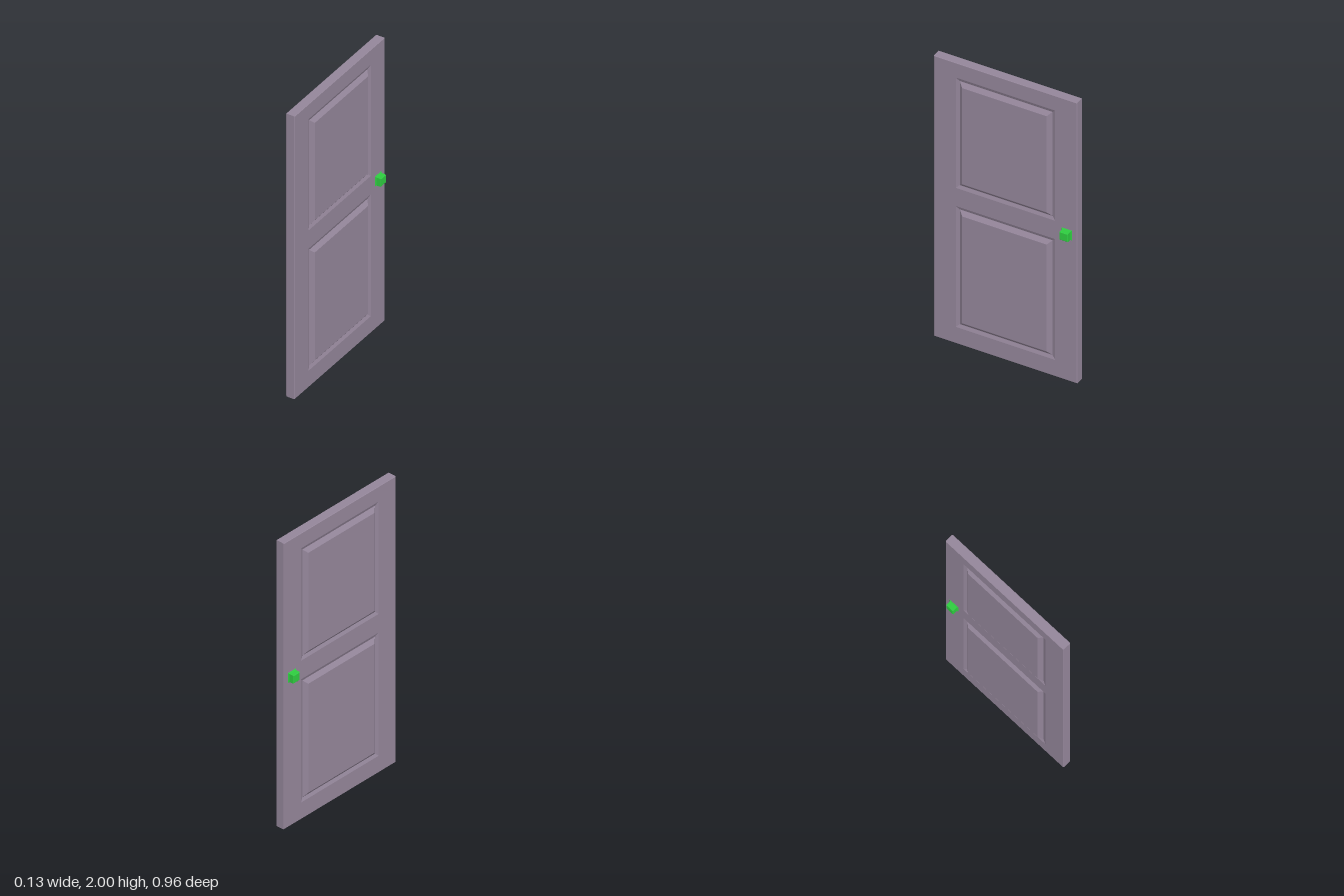
import * as THREE from 'three';

const paint = new THREE.MeshStandardMaterial({ color: 0x94869a });
const green = new THREE.MeshStandardMaterial({ color: 0x2ecc40 });

// Corners of a rectangle grown or shrunk by an inset, at height w above the middle plane
const corners = ([u0, u1, y0, y1], inset, w) => [
  [u0 + inset, y0 + inset, w], [u1 - inset, y0 + inset, w],
  [u1 - inset, y1 - inset, w], [u0 + inset, y1 - inset, w],
];

// Flat-shaded loft through rectangles listed from low to high or outside to inside: [inset, w]
function rectLoft(rect, profile, cap) {
  const pos = [];
  const quad = (a, b, c, d) => pos.push(...a, ...b, ...c, ...a, ...c, ...d);
  const rings = profile.map(([inset, w]) => corners(rect, inset, w));
  for (let i = 0; i < rings.length - 1; i++) {
    for (let j = 0; j < 4; j++) {
      const k = (j + 1) % 4;
      quad(rings[i][j], rings[i][k], rings[i + 1][k], rings[i + 1][j]);
    }
  }
  if (cap) quad(...rings[rings.length - 1]);
  const geo = new THREE.BufferGeometry();
  geo.setAttribute('position', new THREE.Float32BufferAttribute(pos, 3));
  geo.computeVertexNormals();
  return geo;
}

function add(parent, name, geometry, material) {
  const mesh = new THREE.Mesh(geometry, material);
  mesh.name = name;
  parent.add(mesh);
}

const half = 0.03, bevel = 0.003;
const slab = [-0.48, 0.48, 0, 2];
const panels = {
  lowerPanel: [-0.333, 0.333, 0.117, 0.979],
  upperPanel: [-0.333, 0.333, 1.109, 1.895],
};

// One face of the door, facing +z before it is turned
function doorSide(name, knobU) {
  const side = new THREE.Group();
  side.name = name;

  // Flat frame with openings for the panels
  const flat = (rect, inset) => corners(rect, inset, 0).map(([u, y]) => new THREE.Vector2(u, y));
  const frame = new THREE.Shape(flat(slab, bevel));
  for (const rect of Object.values(panels)) frame.holes.push(new THREE.Path(flat(rect, 0).reverse()));
  add(side, 'frame', new THREE.ShapeGeometry(frame).translate(0, 0, half), paint);

  // Panels: a groove sloping in, then a raised field
  for (const [panelName, rect] of Object.entries(panels)) {
    add(side, panelName, rectLoft(rect, [[0, half], [0.022, 0.021], [0.05, 0.042]], true), paint);
  }

  // Square knob with a flared foot and chamfered end
  const knob = [knobU - 0.035, knobU + 0.035, 1.008, 1.078];
  add(side, 'knob', rectLoft(knob, [[0, half], [0.007, 0.036], [0.007, 0.064], [0.01, 0.067]], true), green);
  return side;
}

export function createModel() {
  const door = new THREE.Group();
  door.name = 'door';

  const left = doorSide('leftSide', 0.41);
  left.rotation.y = Math.PI / 2;
  const right = doorSide('rightSide', -0.41);
  right.rotation.y = -Math.PI / 2;

  // Outer edge of the slab with small bevels
  const edge = rectLoft(slab, [[bevel, -half], [0, bevel - half], [0, half - bevel], [bevel, half]], false);
  add(door, 'slabEdge', edge.rotateY(Math.PI / 2), paint);

  door.add(left, right);
  return door;
}
